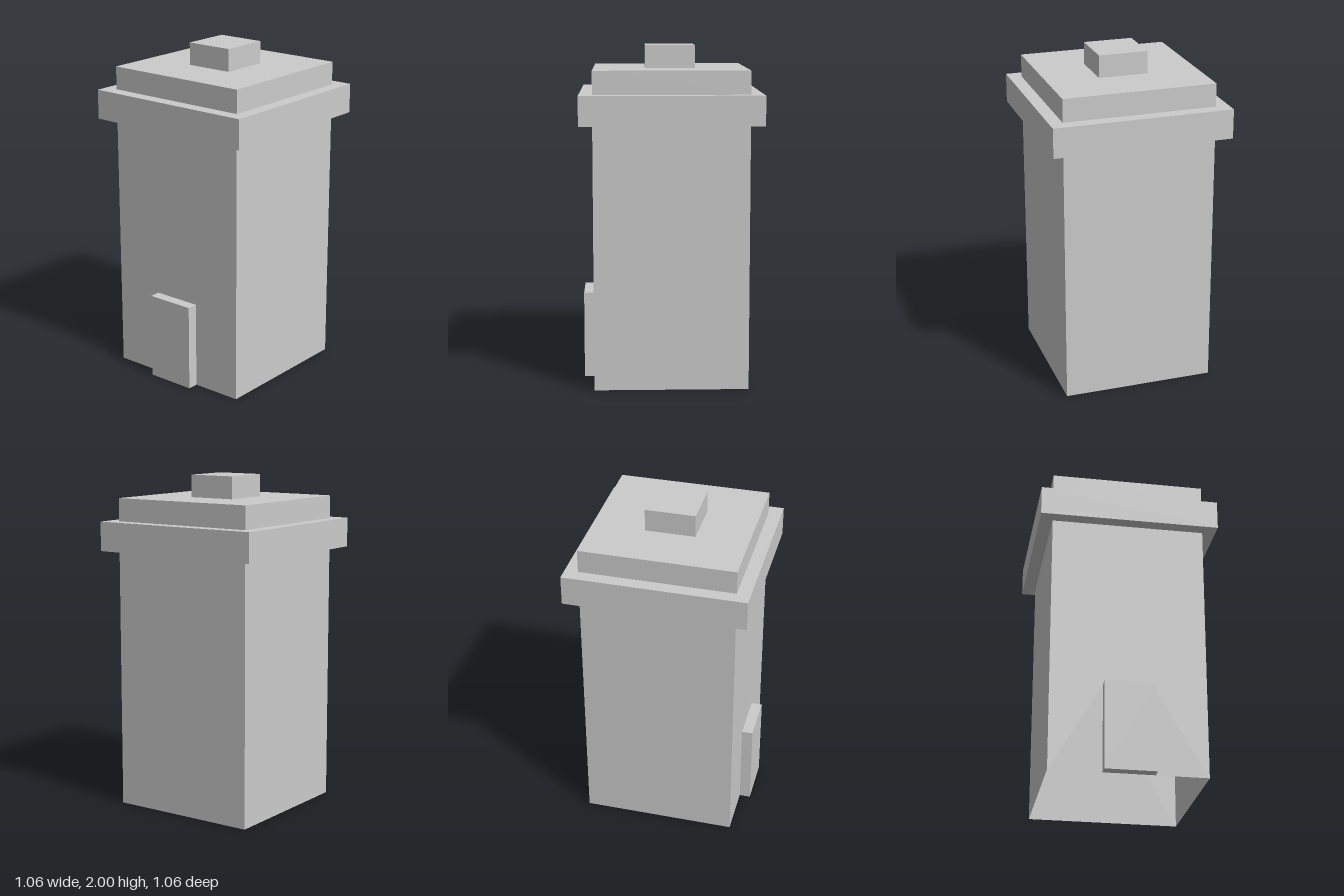
import * as THREE from 'three';

const HALF = 0.453;      // half width of the tower
const WALL_TOP = 1.555;  // height where the ledge starts
const DOOR = { half: 0.148, height: 0.52, depth: 0.065 };

export function createModel() {
  const group = new THREE.Group();
  // Thin hollow shell, open underneath
  const material = new THREE.MeshStandardMaterial({
    color: 0xcccccc, flatShading: true, side: THREE.DoubleSide,
  });
  const add = (name, geometry) => {
    const mesh = new THREE.Mesh(geometry, material);
    mesh.name = name;
    group.add(mesh);
    return mesh;
  };

  // Front, left and back walls
  ['frontWall', 'leftWall', 'backWall'].forEach((name, i) => {
    const wall = new THREE.PlaneGeometry(2 * HALF, WALL_TOP);
    wall.translate(0, WALL_TOP / 2, HALF);
    add(name, wall).rotation.y = i * Math.PI / 2;
  });

  // Right wall, notched where the doorway opens
  const outline = new THREE.Shape([
    [-HALF, 0], [-DOOR.half, 0], [-DOOR.half, DOOR.height], [DOOR.half, DOOR.height],
    [DOOR.half, 0], [HALF, 0], [HALF, WALL_TOP], [-HALF, WALL_TOP],
  ].map(([x, y]) => new THREE.Vector2(x, y)));
  const doorWall = new THREE.ShapeGeometry(outline);
  doorWall.translate(0, 0, HALF);
  add('rightWall', doorWall).rotation.y = -Math.PI / 2;

  // Doorway: a shallow box without its inner (+x) face
  const doorway = new THREE.BoxGeometry(DOOR.depth, DOOR.height, 2 * DOOR.half);
  doorway.setIndex(Array.from(doorway.index.array).slice(6));
  doorway.clearGroups();
  doorway.translate(-HALF - DOOR.depth / 2, DOOR.height / 2, 0);
  add('doorway', doorway);

  // Square stepped pieces: four-sided lathes from [half width, height] profiles
  const stepped = (name, profile) => add(name, new THREE.LatheGeometry(
    profile.map(([half, y]) => new THREE.Vector2(half * Math.SQRT2, y)), 4, Math.PI / 4));
  stepped('ledge', [[HALF, WALL_TOP], [0.531, WALL_TOP], [0.531, 1.73], [HALF, 1.73]]);
  stepped('roof', [[HALF, 1.73], [HALF, 1.867], [0.147, 1.867]]);
  stepped('chimney', [[0.147, 1.867], [0.147, 2], [0, 2]]);

  return group;
}
